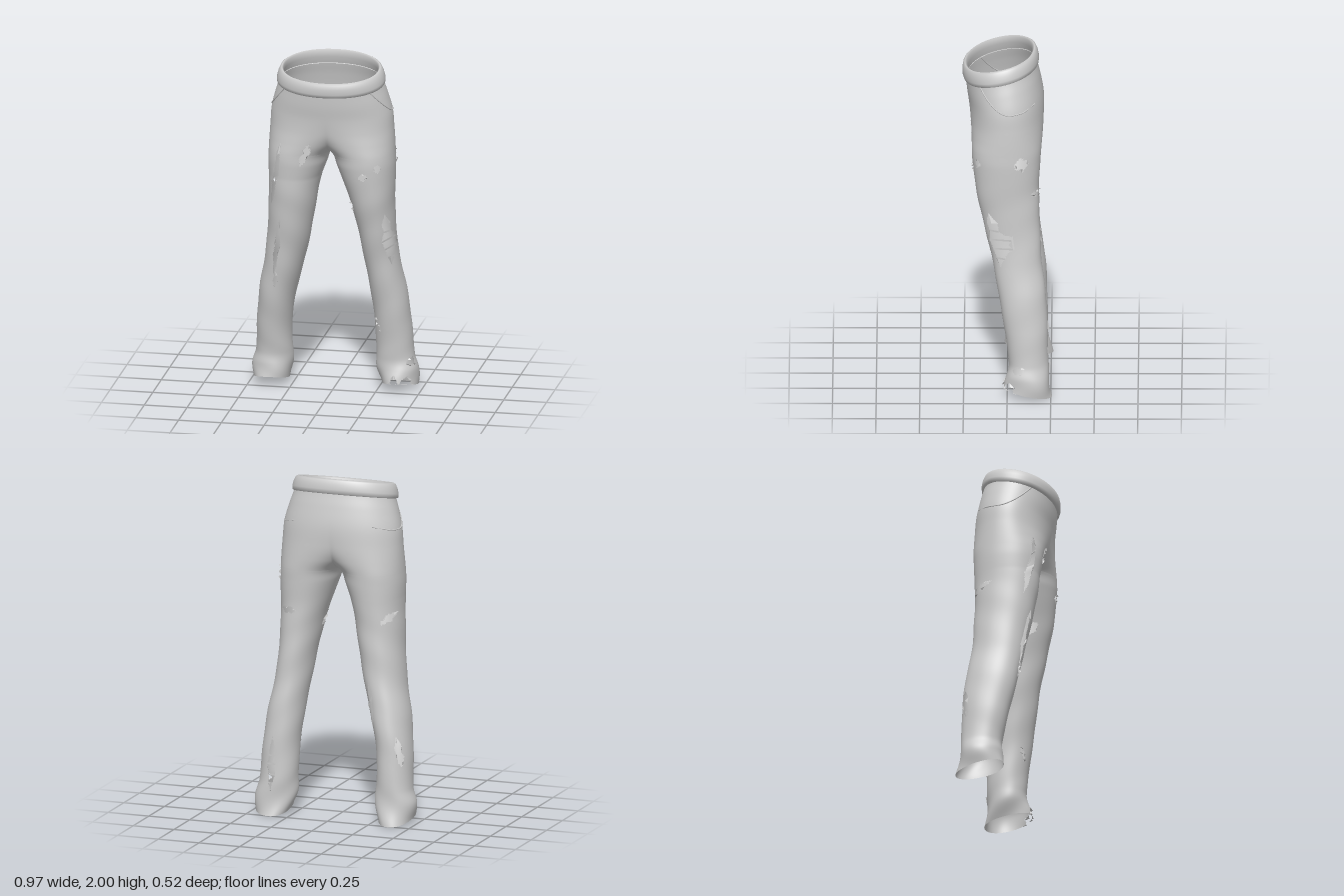
import * as THREE from 'three';
import { mergeVertices } from 'three/addons/utils/BufferGeometryUtils.js';

// Section rows: height, outer x, inner x, front z, back z
const ROWS = [
  [0.03, 0.473, 0.27, 0.02, -0.258], [0.12, 0.48, 0.24, 0, -0.24],
  [0.2, 0.457, 0.235, -0.01, -0.235], [0.4, 0.44, 0.23, 0.015, -0.232],
  [0.6, 0.415, 0.21, 0.05, -0.223], [0.8, 0.377, 0.18, 0.085, -0.198],
  [1, 0.362, 0.145, 0.13, -0.186], [1.2, 0.362, 0.095, 0.175, -0.18],
  [1.38, 0.368, 0.03, 0.2, -0.19], [1.45, 0.366, 0, 0.203, -0.195],
  [1.52, 0.363, -0.1, 0.205, -0.202], [1.6, 0.358, -0.23, 0.21, -0.208],
  [1.7, 0.35, -0.335, 0.22, -0.208], [1.8, 0.325, -0.325, 0.232, -0.188],
  [1.88, 0.3, -0.3, 0.238, -0.167], [1.97, 0.28, -0.28, 0.243, -0.152],
];

// Tears as a line across the cloth and a width: u, y, u, y, width (u is x, or z on the outer face)
const FRONT = [
  [-0.09, 1.53, -0.155, 1.39, 0.045], [-0.27, 1.52, -0.33, 1.14, 0.035],
  [-0.275, 1.06, -0.325, 0.7, 0.035], [-0.31, 0.72, -0.32, 0.62, 0.03],
  [0.185, 1.335, 0.24, 1.345, 0.045], [0.275, 1.385, 0.315, 1.395, 0.05],
  [0.325, 1.1, 0.355, 0.78, 0.06], [0.125, 1.17, 0.13, 1.09, 0.03],
  [0.25, 0.45, 0.285, 0.36, 0.015], [0.35, 0, 0.36, 0.11, 0.05], [0.42, 0, 0.43, 0.1, 0.07],
];
const BACK = [
  [0.22, 1.21, 0.32, 1.205, 0.045], [0.345, 0.46, 0.355, 0.14, 0.05],
  [-0.29, 1.16, -0.36, 1.23, 0.04], [-0.4, 0.52, -0.435, 0.34, 0.035],
  [-0.225, 0.85, -0.25, 0.56, 0.035],
];
const OUTER = [[-0.04, 1.41, -0.12, 1.4, 0.085], [-0.03, 0.17, -0.1, 0.19, 0.05]];

// Jagged spindle outline around each tear line
function tear(face, [u0, y0, u1, y1, width]) {
  const du = u1 - u0, dy = y1 - y0, len = Math.hypot(du, dy), poly = [];
  for (let i = 0; i < 12; i++) {
    const t = i <= 6 ? i / 6 : (12 - i) / 6;
    const w = width / 2 * Math.sin(Math.PI * t) ** 0.6 * (0.85 + 0.3 * Math.sin(i * 2.3 + u0 * 40)) * (i < 6 ? 1 : -1);
    poly.push([u0 + du * t - dy / len * w, y0 + dy * t + du / len * w]);
  }
  return { face, poly, side: face === 'outer' ? 1 : Math.sign(u0), wide: width >= 0.05 && len > 0.2 };
}
const TEARS = [...FRONT.map((l) => tear('front', l)), ...BACK.map((l) => tear('back', l)),
  ...OUTER.map((l) => tear('outer', l))];

// Smooth lookup through the section rows; the right leg stands slightly forward and outward
function section(side, y) {
  let i = 0;
  while (i < ROWS.length - 2 && y > ROWS[i + 1][0]) i++;
  const p = ROWS[i], q = ROWS[i + 1], h = q[0] - p[0], t = (y - p[0]) / h;
  const a = ROWS[Math.max(i - 1, 0)], b = ROWS[Math.min(i + 2, ROWS.length - 1)];
  const [o, n, f, k] = [1, 2, 3, 4].map((c) => {
    const m0 = (q[c] - a[c]) / (q[0] - a[0]) * h, m1 = (b[c] - p[c]) / (b[0] - p[0]) * h;
    const t2 = t * t, t3 = t2 * t;
    return (2 * t3 - 3 * t2 + 1) * p[c] + (t3 - 2 * t2 + t) * m0 + (3 * t2 - 2 * t3) * q[c] + (t3 - t2) * m1;
  });
  if (side > 0 || y > 1.3) return [o, n, f, k];
  const s = Math.sin(Math.PI * y / 1.3);
  return [o + 0.018 * s, n + 0.025 * Math.sin(2 * Math.PI * y / 1.3), f + 0.035 * s, k + 0.008 * s];
}

const POW = 2 / 2.12;
const spow = (v) => Math.sign(v) * Math.abs(v) ** POW;

// Above the crotch the ring opens where it meets the centre plane
function ring(side, y) {
  const [o, i, f, b] = section(side, y);
  const cx = Math.max((o + i) / 2, 0), rx = o - cx;
  const open = y > 1.4501 ? Math.acos(-Math.min(1, (cx / rx) ** (1 / POW))) : Math.PI;
  return { cx, rx, cz: (f + b) / 2, rz: (f - b) / 2, open };
}

// Point on the cloth at a height and an angle (0 is outward, quarter turn is forward)
function point(side, y, a, out = 0) {
  const r = ring(side, y), S = THREE.MathUtils.smoothstep;
  const hem = 1 - S(y, 0.03, 0.3), leg = 1 - S(y, 1.1, 1.35), hip = S(y, 1.5, 1.9);
  const fold = 1 + 0.035 * hem * Math.sin(3 * a + y * 28 + side)
    + 0.018 * leg * Math.sin(2 * a + y * 17 + side) * Math.sin(y * 9);
  let x = r.cx + (r.rx * fold + out) * spow(Math.cos(a));
  if (y > 1.45 && Math.abs(Math.abs(a) - r.open) < 1e-6) x = 0;
  const z = r.cz + (r.rz * fold + out) * spow(Math.sin(a));
  const lift = 0.03 * Math.sin(a) * (1 - S(y, 0.03, 0.2));
  return new THREE.Vector3(side * x, y + lift - 0.22 * z * hip, z);
}

function inside([x, y], poly) {
  let hit = false;
  poly.forEach(([ax, ay], i) => {
    const [bx, by] = poly[(i + 1) % poly.length];
    if (ay > y !== by > y && x < (bx - ax) * (y - ay) / (by - ay) + ax) hit = !hit;
  });
  return hit;
}

function onFace(face, side, p, r) {
  if (face === 'outer') return side * p.x > r.cx;
  return face === 'front' ? p.z > r.cz : p.z < r.cz;
}
const flat = (face, p) => [face === 'outer' ? p.z : p.x, p.y];

function geometry(pos, idx) {
  let g = new THREE.BufferGeometry();
  g.setAttribute('position', new THREE.Float32BufferAttribute(pos, 3));
  if (idx) {
    g.setIndex(idx);
    g = mergeVertices(g, 1e-5);
  }
  g.computeVertexNormals();
  return g;
}

export function createModel() {
  const group = new THREE.Group();
  const cloth = new THREE.MeshStandardMaterial({ color: 0xcccccc, side: THREE.DoubleSide });
  cloth.name = 'grey cloth';
  const add = (name, geo) => {
    const m = new THREE.Mesh(geo, cloth);
    m.name = name;
    group.add(m);
  };

  // Rows are closer together around the crotch
  const levels = [];
  for (let i = 0; i < 140; i++) levels.push(0.03 + 1.42 * i / 140);
  for (let i = 0; i <= 56; i++) levels.push(1.45 + 0.495 * (i / 56) ** 1.6);

  // Legs and hips, left open where the cloth is torn
  const N = 112, pos = [], idx = [], grid = { 1: [], '-1': [] }, rings = {};
  for (const side of [1, -1]) {
    const base = pos.length / 3, pts = grid[side];
    rings[side] = levels.map((y) => ring(side, y));
    const tears = TEARS.filter((t) => t.side === side);
    levels.forEach((y, r) => {
      for (let j = 0; j <= N; j++) {
        const p = point(side, y, rings[side][r].open * (2 * j / N - 1));
        pts.push(p);
        pos.push(p.x, p.y, p.z);
      }
    });
    const tri = (r, ...v) => {
      const c = new THREE.Vector3();
      v.forEach((k) => c.addScaledVector(pts[k], 1 / 3));
      if (tears.some((t) => onFace(t.face, side, c, rings[side][r]) && inside(flat(t.face, c), t.poly))) return;
      if (side < 0) v.reverse();
      idx.push(...v.map((k) => k + base));
    };
    for (let r = 0; r < levels.length - 1; r++) for (let j = 0; j < N; j++) {
      const a = r * (N + 1) + j, c = a + N + 1;
      tri(r, a, c, a + 1);
      tri(r, a + 1, c, c + 1);
    }
  }
  add('trouserLegs', geometry(pos, idx));

  // Nearest cloth point to a tear outline point, lifted slightly
  const project = ({ side, face }, [u, v], lift) => {
    let best, min = Infinity, near;
    grid[side].forEach((p, k) => {
      const q = flat(face, p), d = (q[0] - u) ** 2 + (q[1] - v) ** 2;
      const r = rings[side][Math.floor(k / (N + 1))];
      if (d < min && onFace(face, side, p, r)) [min, best, near] = [d, p, r];
    });
    const out = new THREE.Vector3(best.x - side * near.cx, 0, best.z - near.cz).normalize();
    return best.clone().addScaledVector(out, lift);
  };

  // Frayed flaps around the tears, and loose threads across the wide ones
  const frays = [], threads = [];
  for (const t of TEARS) {
    const { poly } = t, mid = [0, 1].map((k) => (poly[0][k] + poly[6][k]) / 2);
    for (let i = 0; i < 12; i += 3) {
      const p = poly[i], q = poly[i + 1];
      const tip = [0, 1].map((k) => (p[k] + q[k]) / 2 * 0.75 + mid[k] * 0.25);
      for (const w of [project(t, p, 0.001), project(t, q, 0.001), project(t, tip, 0.012)]) frays.push(w.x, w.y, w.z);
    }
    if (t.wide) for (let i = 2; i < 6; i++) {
      const a = project(t, poly[i], 0), b = project(t, poly[12 - i], 0), h = 0.005;
      threads.push(a.x, a.y - h, a.z, b.x, b.y - h, b.z, b.x, b.y + h, b.z,
        a.x, a.y - h, a.z, b.x, b.y + h, b.z, a.x, a.y + h, a.z);
    }
  }
  add('frayedFlaps', geometry(frays));
  add('looseThreads', geometry(threads));

  // Rolled waistband: offset from the cloth and height
  const band = [[-0.004, 1.872], [0.012, 1.878], [0.018, 1.9], [0.017, 1.93], [0.011, 1.955],
    [0.001, 1.963], [-0.01, 1.955], [-0.013, 1.92], [-0.008, 1.88]];
  const bp = [], bi = [], M = 96;
  band.forEach(([off, y], r) => {
    for (let j = 0; j <= M; j++) {
      const p = point(1, y, 2 * Math.PI * (j % M) / M, off);
      bp.push(p.x, p.y, p.z);
      const a = r * (M + 1) + j, c = a + M + 1;
      if (r < band.length - 1 && j < M) bi.push(a, c, a + 1, a + 1, c, c + 1);
    }
  });
  add('waistband', geometry(bp, bi));

  // Pocket edges curving round each hip
  for (const side of [1, -1]) {
    const path = [[1.87, 0.6], [1.8, 0.42], [1.74, 0.22], [1.705, 0], [1.7, -0.4], [1.715, -0.85]]
      .map(([y, a]) => point(side, y, a, 0.001));
    add(side > 0 ? 'leftPocketEdge' : 'rightPocketEdge',
      new THREE.TubeGeometry(new THREE.CatmullRomCurve3(path), 40, 0.004, 6));
  }
  return group;
}
